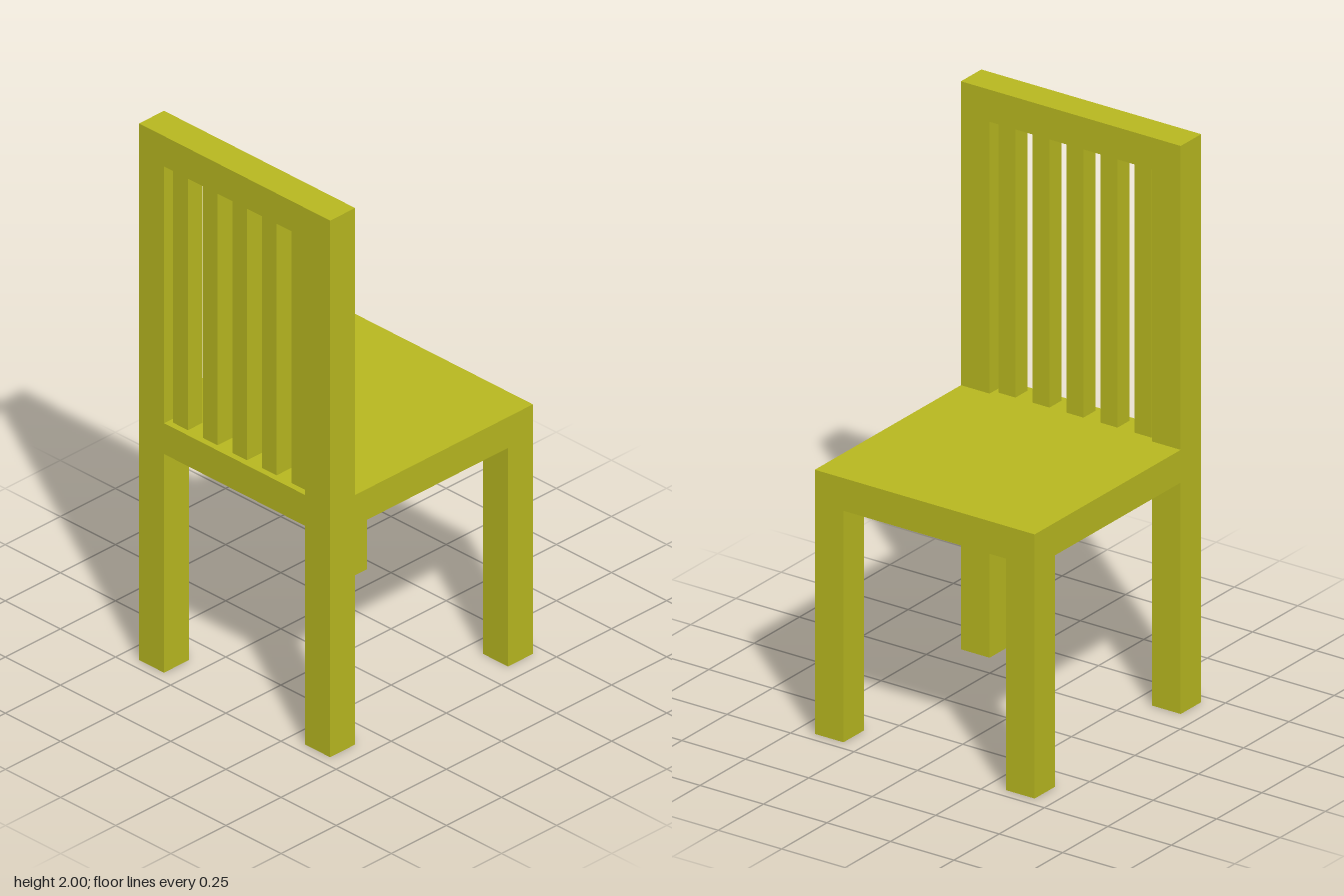
import * as THREE from 'three';

export function createModel() {
  const chair = new THREE.Group();
  chair.name = 'chair';
  const material = new THREE.MeshStandardMaterial({ color: 0xb8b820 });

  const X = 0.46, Z = 0.433, T = 0.113; // half depth, half width, timber thickness
  const seatBottom = 0.815, seatTop = 0.93, top = 2;
  const backX = -X + T / 2;

  // Box given by its centre in x and z, its lower and upper height, and its size
  function addBox(name, x, z, y0, y1, sx, sz) {
    const mesh = new THREE.Mesh(new THREE.BoxGeometry(sx, y1 - y0, sz), material);
    mesh.position.set(x, (y0 + y1) / 2, z);
    mesh.name = name;
    chair.add(mesh);
  }

  // Seat slab, with its open side towards +x
  addBox('seat', 0, 0, seatBottom, seatTop, 2 * X, 2 * Z);

  // Legs and back posts, flush with the seat corners
  for (const side of [-1, 1]) {
    const z = side * (Z - T / 2);
    addBox('frontLeg', -backX, z, 0, seatBottom, T, T);
    addBox('backLeg', backX, z, 0, seatBottom, T, T);
    addBox('backPost', backX, z, seatTop, top - T, T, T);
  }

  // Top rail of the backrest
  addBox('topRail', backX, 0, top - T, top, T, 2 * Z);

  // Five square slats, centred in the thickness of the frame
  for (let i = -2; i <= 2; i++) {
    addBox('backSlat', backX, i * 0.134, seatTop, top - T, 0.067, 0.067);
  }

  return chair;
}
